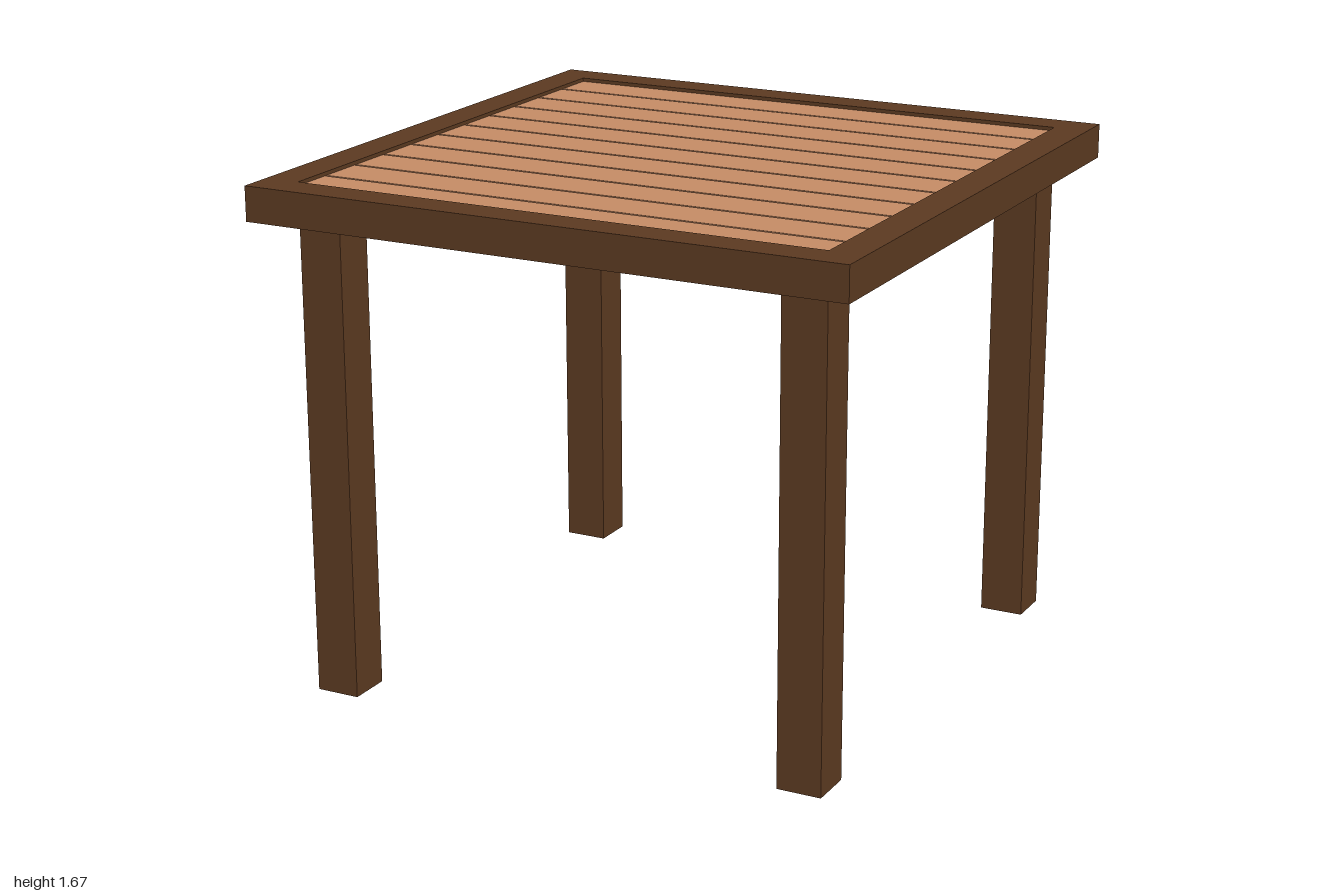
import * as THREE from 'three';

export function createModel() {
  const model = new THREE.Group();
  model.name = 'slattedTable';

  const darkWood = new THREE.MeshStandardMaterial({ color: 0x5c3a21 });
  darkWood.name = 'dark wood';
  const lightWood = new THREE.MeshStandardMaterial({ color: 0xc68c66 });
  lightWood.name = 'light wood';

  const INNER = 0.885;        // half size of the frame opening
  const FRAME_BOTTOM = 1.555;
  const FRAME_TOP = 1.667;
  const SLAT_BOTTOM = 1.61;
  const SLAT_TOP = 1.655;

  const addBox = (name, material, size, position) => {
    const mesh = new THREE.Mesh(new THREE.BoxGeometry(...size), material);
    mesh.name = name;
    mesh.position.set(...position);
    model.add(mesh);
  };

  // Square frame around the top, with an open middle
  const square = (h) => [[-h, -h], [h, -h], [h, h], [-h, h]].map(([x, y]) => new THREE.Vector2(x, y));
  const outline = new THREE.Shape(square(1));
  outline.holes.push(new THREE.Path(square(INNER).reverse()));
  const frameGeometry = new THREE.ExtrudeGeometry(outline, { depth: FRAME_TOP - FRAME_BOTTOM, bevelEnabled: false });
  frameGeometry.rotateX(-Math.PI / 2);
  const frame = new THREE.Mesh(frameGeometry, darkWood);
  frame.name = 'topFrame';
  frame.position.y = FRAME_BOTTOM;
  model.add(frame);

  // Eleven slats, slightly recessed, with narrow open gaps; the end slats are trimmed by the frame
  const count = 11, pitch = 0.1635, gap = 0.01;
  for (let i = 0; i < count; i++) {
    const middle = (i - (count - 1) / 2) * pitch;
    const back = Math.max(middle - (pitch - gap) / 2, -INNER);
    const front = Math.min(middle + (pitch - gap) / 2, INNER);
    addBox(`slat${i + 1}`, lightWood,
      [INNER * 2, SLAT_TOP - SLAT_BOTTOM, front - back],
      [0, (SLAT_TOP + SLAT_BOTTOM) / 2, (front + back) / 2]);
  }

  // Four square legs set in the inner corners of the frame, reaching up to the slats
  const legWidth = 0.145;
  const legOffset = INNER - legWidth / 2;
  for (const [sx, xName] of [[1, 'Left'], [-1, 'Right']]) {
    for (const [sz, zName] of [[1, 'front'], [-1, 'back']]) {
      addBox(`${zName}${xName}Leg`, darkWood,
        [legWidth, SLAT_BOTTOM, legWidth],
        [sx * legOffset, SLAT_BOTTOM / 2, sz * legOffset]);
    }
  }

  return model;
}
